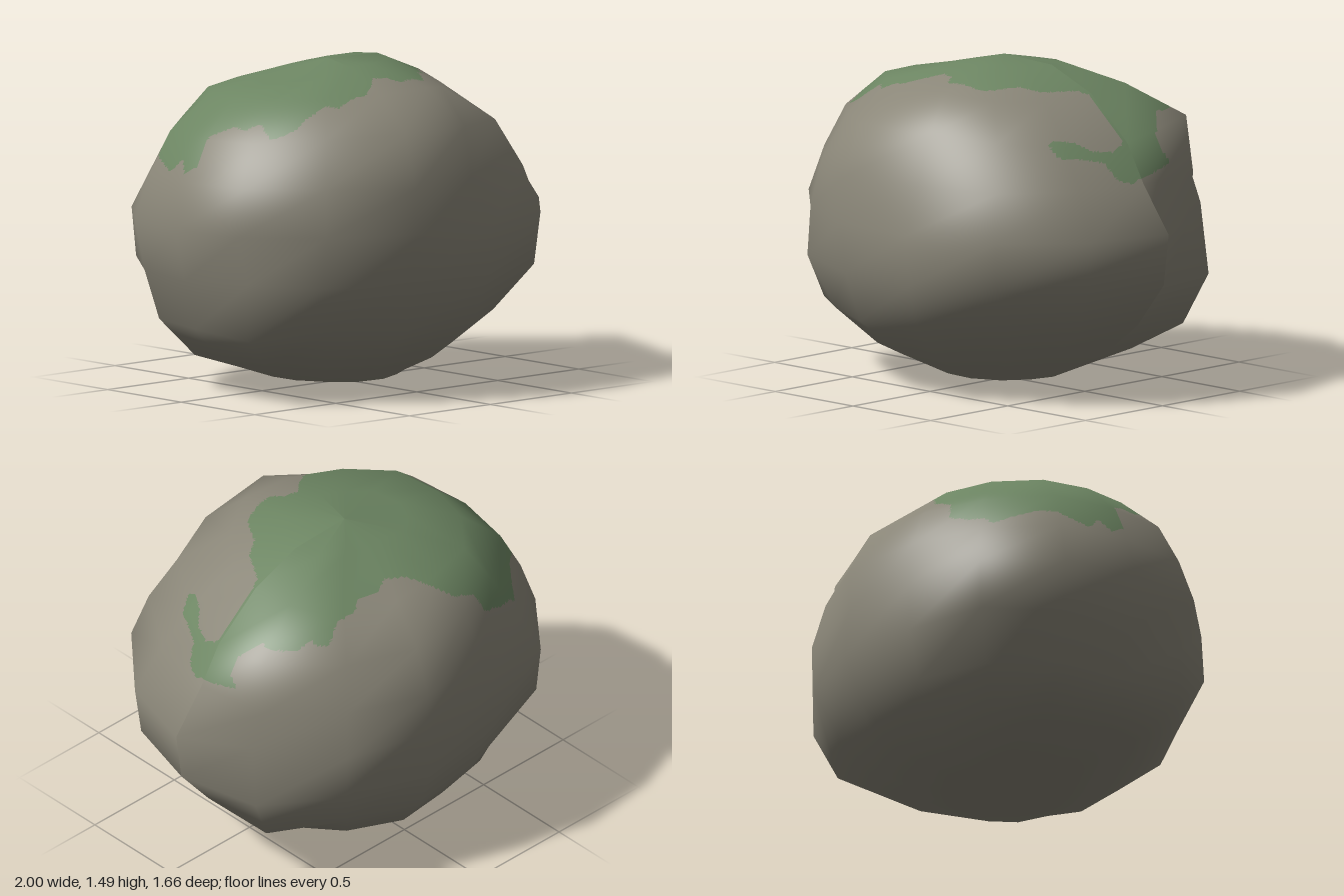
import * as THREE from 'three';

const SEG = 14, RINGS = 10, FINE = 20;
const CX = -0.06, CZ = -0.04, TOP = 1.49, MID = 0.79;

// widest outline of the boulder (x, z), from +x round through +z
const OUTLINE = [
  [1, -0.04], [0.89, 0.35], [0.6, 0.68], [0.17, 0.83], [-0.28, 0.8], [-0.66, 0.61], [-0.95, 0.33],
  [-1, -0.04], [-0.92, -0.4], [-0.67, -0.7], [-0.25, -0.78], [0.15, -0.83], [0.55, -0.7], [0.88, -0.43],
];

// vertical profiles for each side: [share of outline, height] per ring, top to bottom
const PROFILES = {
  left: [[0, TOP], [0.29, 1.48], [0.53, 1.38], [0.75, 1.18], [0.85, 1.0], [1, MID], [0.97, 0.55], [0.81, 0.34], [0.6, 0.17], [0.3, 0.03], [0, 0]],
  right: [[0, TOP], [0.36, 1.41], [0.61, 1.36], [0.81, 1.19], [0.91, 1.0], [1, MID], [0.94, 0.55], [0.87, 0.32], [0.69, 0.15], [0.36, 0.05], [0, 0]],
  front: [[0, TOP], [0.25, 1.48], [0.6, 1.39], [0.81, 1.24], [0.96, 1.01], [1, MID], [0.97, 0.55], [0.88, 0.32], [0.63, 0.15], [0.34, 0.03], [0, 0]],
  back: [[0, TOP], [0.25, 1.45], [0.61, 1.34], [0.85, 1.2], [0.98, 1.0], [1, MID], [1, 0.57], [0.9, 0.35], [0.69, 0.14], [0.34, 0.06], [0, 0]],
};

// knobs and dents that break the regular shape, keyed by ring,segment
const KNOBS = {
  // jutting corner at the back left, and the hollow below it
  '2,12': [0.32, 1.325, -0.44],
  '2,13': [0.5, 1.4, -0.26],
  '3,13': [0.77, 1.27, -0.385],
  '4,13': [0.8, 1.01, -0.4],
  '5,13': [0.82, 0.8, -0.355],
  '6,13': [0.87, 0.54, -0.43],
  '7,13': [0.755, 0.3, -0.38],
  // front shoulder
  '2,1': [0.43, 1.355, 0.18],
  '2,2': [0.28, 1.365, 0.36],
  '2,3': [0.08, 1.395, 0.48],
  '3,1': [0.63, 1.18, 0.25],
  '3,3': [0.15, 1.23, 0.66],
  '3,4': [-0.25, 1.24, 0.7],
  '4,3': [0.14, 1.0, 0.72],
  '4,4': [-0.27, 1.0, 0.79],
  // hollows low on the front left
  '7,2': [0.48, 0.33, 0.49],
  '8,1': [0.48, 0.18, 0.17],
  '8,2': [0.35, 0.18, 0.36],
  // front right edge
  '6,5': [-0.68, 0.56, 0.61],
  '6,6': [-0.87, 0.56, 0.31],
  '7,6': [-0.87, 0.3, 0.31],
  // flattened back and back right
  '2,10': [-0.19, 1.36, -0.51],
  '3,9': [-0.5, 1.2, -0.55],
  '4,9': [-0.59, 1.0, -0.63],
  '5,11': [0.15, 0.79, -0.81],
  '7,9': [-0.55, 0.35, -0.57],
};

// moss cap edge seen from above (x, z), and its hanging side edge (z, y)
const MOSS_CAP = [
  [-0.62, -0.58], [-0.5, -0.62], [-0.37, -0.64], [-0.34, -0.6], [-0.22, -0.6], [-0.12, -0.53], [-0.06, -0.44],
  [0.03, -0.4], [0.1, -0.43], [0.2, -0.4], [0.25, -0.44], [0.36, -0.43], [0.45, -0.48], [0.52, -0.44],
  [0.52, -0.03], [0.45, 0], [0.42, 0.05], [0.36, 0.15], [0.28, 0.2], [0.22, 0.3], [0.18, 0.35], [0.1, 0.37],
  [0, 0.39], [-0.03, 0.33], [-0.1, 0.31], [-0.15, 0.36], [-0.25, 0.43], [-0.32, 0.41], [-0.4, 0.41],
  [-0.45, 0.37], [-0.55, 0.35], [-0.62, 0.35], [-0.72, 0.3], [-0.7, 0.2], [-0.74, 0.15], [-0.74, 0.07],
  [-0.8, -0.02], [-0.88, -0.03], [-0.89, -0.1], [-0.85, -0.15], [-0.87, -0.22], [-0.82, -0.35], [-0.74, -0.42], [-0.66, -0.52],
];
const MOSS_SIDE = [
  [0.32, 1.2], [0.28, 1.21], [0.2, 1.2], [0.15, 1.16], [0.05, 1.15], [-0.02, 1.18], [-0.03, 1.25], [-0.03, 1.5],
  [-0.47, 1.5], [-0.42, 1.28], [-0.36, 1.3], [-0.28, 1.29], [-0.2, 1.21], [-0.2, 1.13], [-0.24, 1.07],
  [-0.08, 1.04], [0.02, 1.01], [0.08, 1.03], [0.12, 1.11], [0.2, 1.13], [0.3, 1.14],
];

function inPolygon(poly, px, py) {
  let inside = false;
  poly.forEach(([x1, y1], k) => {
    const [x2, y2] = poly[(k + 1) % poly.length];
    if ((y1 > py) !== (y2 > py) && px < x1 + ((py - y1) / (y2 - y1)) * (x2 - x1)) inside = !inside;
  });
  return inside;
}

function isMoss(p) {
  if (p.y < 0.95) return false;
  return p.x > 0.51 ? inPolygon(MOSS_SIDE, p.z, p.y) : inPolygon(MOSS_CAP, p.x, p.z);
}

function boulderPoint(i, j) {
  const seg = j % SEG;
  const knob = KNOBS[`${i},${seg}`];
  if (knob) return knob;
  const a = (seg / SEG) * Math.PI * 2, c = Math.cos(a), s = Math.sin(a);
  const px = PROFILES[c > 0 ? 'left' : 'right'][i], pz = PROFILES[s > 0 ? 'front' : 'back'][i];
  const [share, y] = [0, 1].map((k) => px[k] * c * c + pz[k] * s * s);
  const [ox, oz] = OUTLINE[seg];
  return [CX + (ox - CX) * share, y, CZ + (oz - CZ) * share];
}

// coarse boulder with smooth normals and an open seam on the left side
function coarseBoulder() {
  const pos = [], index = [], row = SEG + 1;
  for (let i = 0; i <= RINGS; i++) for (let j = 0; j <= SEG; j++) pos.push(...boulderPoint(i, j));
  for (let i = 0; i < RINGS; i++) {
    for (let j = 0; j < SEG; j++) {
      const a = i * row + j, b = a + row, c = b + 1, d = a + 1;
      if (i > 0) index.push(a, d, c);
      if (i < RINGS - 1) index.push(a, c, b);
    }
  }
  const geo = new THREE.BufferGeometry();
  geo.setAttribute('position', new THREE.Float32BufferAttribute(pos, 3));
  geo.setIndex(index);
  geo.computeVertexNormals();
  return geo;
}

// cut every coarse face finely and sort the pieces into stone and moss
function splitSurface(geo) {
  const parts = { stone: { pos: [], nor: [] }, moss: { pos: [], nor: [] } };
  const { position, normal } = geo.attributes, idx = geo.index.array;
  const read = (attr, k) => new THREE.Vector3().fromBufferAttribute(attr, k);
  for (let f = 0; f < idx.length; f += 3) {
    const P = [0, 1, 2].map((k) => read(position, idx[f + k]));
    const N = [0, 1, 2].map((k) => read(normal, idx[f + k]));
    const mix = (V, u, v) => new THREE.Vector3()
      .addScaledVector(V[0], 1 - (u + v) / FINE).addScaledVector(V[1], u / FINE).addScaledVector(V[2], v / FINE);
    const add = (corners) => {
      const pts = corners.map(([u, v]) => mix(P, u, v));
      const mid = pts[0].clone().add(pts[1]).add(pts[2]).divideScalar(3);
      const part = isMoss(mid) ? parts.moss : parts.stone;
      corners.forEach(([u, v], k) => {
        part.pos.push(...pts[k].toArray());
        part.nor.push(...mix(N, u, v).normalize().toArray());
      });
    };
    for (let u = 0; u < FINE; u++) {
      for (let v = 0; u + v < FINE; v++) {
        add([[u, v], [u + 1, v], [u, v + 1]]);
        if (u + v < FINE - 1) add([[u + 1, v], [u + 1, v + 1], [u, v + 1]]);
      }
    }
  }
  return parts;
}

export function createModel() {
  const group = new THREE.Group();
  group.name = 'mossyBoulder';
  const colours = { stone: 0x8a8678, moss: 0x6c8562 };
  const parts = splitSurface(coarseBoulder());
  for (const name of Object.keys(colours)) {
    const material = new THREE.MeshStandardMaterial({ color: colours[name] });
    material.name = name;
    const geo = new THREE.BufferGeometry();
    geo.setAttribute('position', new THREE.Float32BufferAttribute(parts[name].pos, 3));
    geo.setAttribute('normal', new THREE.Float32BufferAttribute(parts[name].nor, 3));
    const mesh = new THREE.Mesh(geo, material);
    mesh.name = name === 'stone' ? 'boulder' : 'mossPatch';
    group.add(mesh);
  }
  return group;
}
